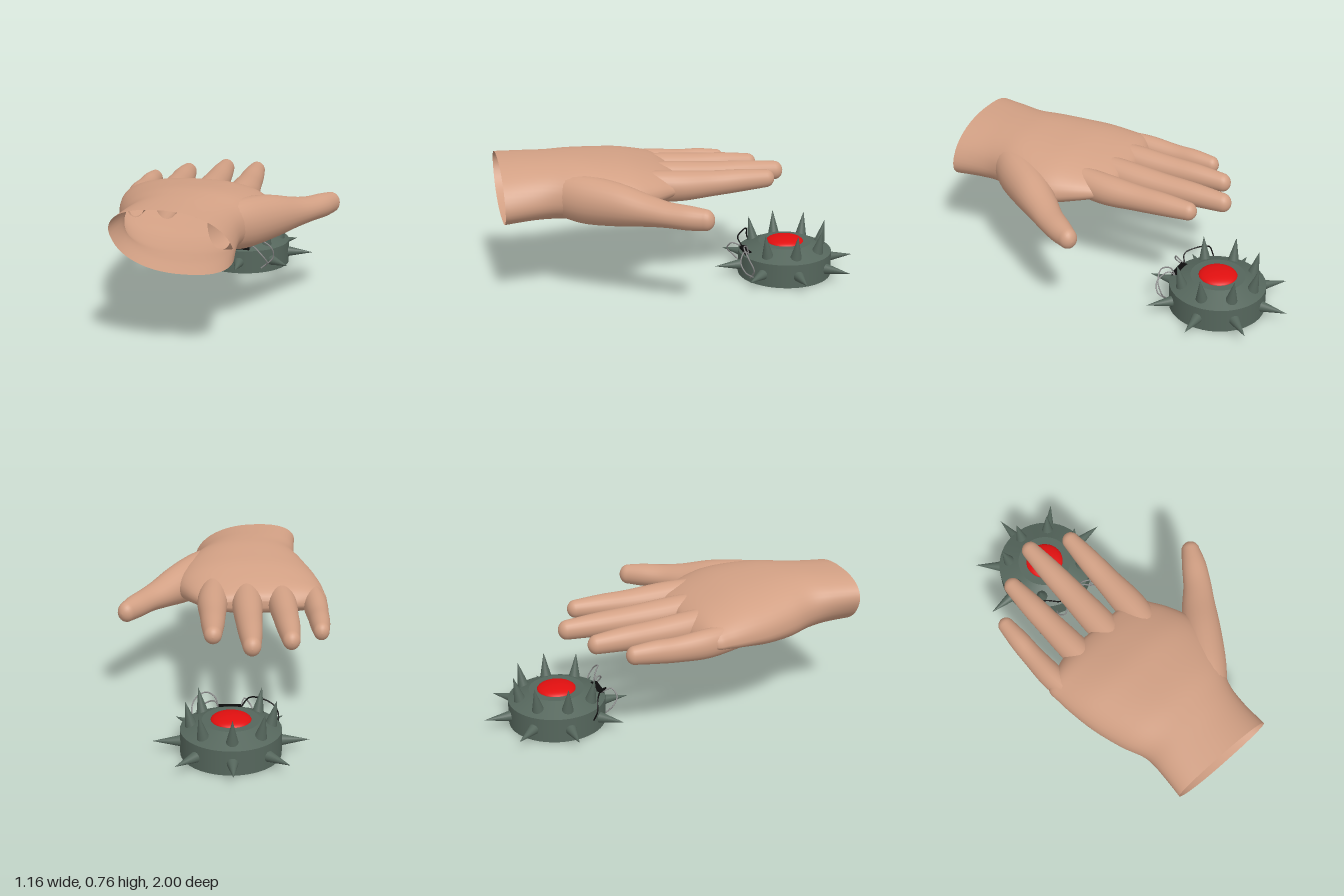
import * as THREE from 'three';

const skin = new THREE.MeshStandardMaterial({ color: 0xd2a084, side: THREE.DoubleSide });
const metal = new THREE.MeshStandardMaterial({ color: 0x55665c });
const red = new THREE.MeshStandardMaterial({ color: 0xe00f0f });
const black = new THREE.MeshStandardMaterial({ color: 0x0c0c0c });
const grey = new THREE.MeshStandardMaterial({ color: 0x8c8c8c });
metal.name = 'gunmetal'; skin.name = 'skin'; red.name = 'button red';
black.name = 'black'; grey.name = 'wire grey';

function add(parent, name, geometry, material) {
  const mesh = new THREE.Mesh(geometry, material);
  mesh.name = name;
  parent.add(mesh);
  return mesh;
}

// Smoothly interpolate rows of numbers (Catmull-Rom), with several steps per span
function smoothRows(rows, steps) {
  const out = [];
  const at = i => rows[Math.min(Math.max(i, 0), rows.length - 1)];
  for (let i = 0; i < rows.length - 1; i++) {
    for (let s = 0; s < steps; s++) {
      const t = s / steps;
      out.push(rows[i].map((_, k) => {
        const [a, b, c, d] = [at(i - 1)[k], at(i)[k], at(i + 1)[k], at(i + 2)[k]];
        return b + 0.5 * t * (c - a + t * (2 * a - 5 * b + 4 * c - d + t * (3 * (b - c) + d - a)));
      }));
    }
  }
  out.push(rows[rows.length - 1]);
  return out;
}

// Skin a list of closed rings of equal length
function loft(rings) {
  const n = rings[0].length, index = [];
  for (let i = 0; i < rings.length - 1; i++) {
    for (let j = 0; j < n; j++) {
      const a = i * n + j, b = i * n + (j + 1) % n;
      index.push(a, a + n, b, b, a + n, b + n);
    }
  }
  const g = new THREE.BufferGeometry();
  g.setAttribute('position', new THREE.Float32BufferAttribute(rings.flat(2), 3));
  g.setIndex(index);
  g.computeVertexNormals();
  return g;
}

const angles = n => Array.from({ length: n }, (_, j) => j / n * Math.PI * 2);
const power = (v, p) => Math.sign(v) * Math.abs(v) ** p;

// Finger: rows are [x, y, z, half width, half height], finished with a round tip
function fingerGeometry(rows) {
  const stations = smoothRows(rows, 5);
  const end = stations[stations.length - 1], before = rows[rows.length - 2];
  const dir = new THREE.Vector3(end[0] - before[0], end[1] - before[1], end[2] - before[2]).normalize();
  for (let k = 1; k <= 7; k++) {
    const a = k / 7 * Math.PI / 2, f = end[3] * Math.sin(a), c = Math.max(Math.cos(a), 0.001);
    stations.push([end[0] + dir.x * f, end[1] + dir.y * f, end[2] + dir.z * f, end[3] * c, end[4] * c]);
  }
  const side = new THREE.Vector3(-dir.z, 0, dir.x).normalize();
  return loft(stations.map(([x, y, z, w, h]) => angles(24).map(a => [
    x + side.x * w * Math.cos(a), y + h * Math.sin(a), z + side.z * w * Math.cos(a)])));
}

// Palm: rows are [z, right x, left x, edge y right, edge y left, top, bottom, skew]
function palmGeometry() {
  const rows = [
    [1.00, -0.45, 0.13, 0.59, 0.59, 0.745, 0.43, 0.08],
    [0.85, -0.445, 0.13, 0.59, 0.59, 0.75, 0.435, 0.05],
    [0.73, -0.45, 0.145, 0.58, 0.59, 0.755, 0.43, 0.02],
    [0.60, -0.50, 0.20, 0.57, 0.58, 0.757, 0.425, 0],
    [0.45, -0.545, 0.25, 0.56, 0.57, 0.745, 0.435, 0],
    [0.32, -0.57, 0.25, 0.56, 0.57, 0.73, 0.46, 0],
    [0.20, -0.582, 0.20, 0.56, 0.58, 0.70, 0.485, 0],
    [0.11, -0.575, 0.145, 0.56, 0.58, 0.67, 0.505, 0],
    [0.05, -0.45, 0.11, 0.57, 0.58, 0.635, 0.53, 0],
    [0.03, -0.38, 0.05, 0.575, 0.58, 0.60, 0.56, 0],
  ];
  const rings = smoothRows(rows, 5).map(([z, x0, x1, y0, y1, top, bottom, skew]) => angles(48).map(a => {
    const c = power(Math.cos(a), 0.85), s = power(Math.sin(a), 0.9);
    const mid = y0 + (y1 - y0) * (c + 1) / 2;
    return [(x0 + x1) / 2 + c * (x1 - x0) / 2 - skew * s, mid + s * (s > 0 ? top - mid : mid - bottom), z];
  }));
  rings.push(rings[0].map(() => [-0.16, 0.578, 0.03]));
  return loft(rings);
}

function createHand() {
  const hand = new THREE.Group();
  hand.name = 'hand';
  add(hand, 'palm', palmGeometry(), skin);
  const fingers = {
    littleFinger: [[-0.49, 0.575, 0.32, 0.05, 0.07], [-0.515, 0.56, 0.1, 0.066, 0.08],
      [-0.519, 0.555, -0.08, 0.058, 0.068], [-0.517, 0.56, -0.2, 0.054, 0.062], [-0.514, 0.56, -0.31, 0.043, 0.05]],
    ringFinger: [[-0.31, 0.595, 0.36, 0.06, 0.08], [-0.33, 0.58, 0.08, 0.078, 0.085],
      [-0.338, 0.575, -0.15, 0.069, 0.072], [-0.342, 0.575, -0.3, 0.062, 0.064], [-0.345, 0.57, -0.455, 0.047, 0.052]],
    middleFinger: [[-0.14, 0.605, 0.36, 0.06, 0.08], [-0.137, 0.585, 0.06, 0.083, 0.086],
      [-0.136, 0.58, -0.2, 0.072, 0.072], [-0.137, 0.58, -0.38, 0.063, 0.064], [-0.137, 0.577, -0.55, 0.048, 0.053]],
    indexFinger: [[0.03, 0.605, 0.36, 0.06, 0.08], [0.053, 0.59, 0.08, 0.083, 0.085],
      [0.056, 0.59, -0.14, 0.07, 0.07], [0.058, 0.595, -0.29, 0.062, 0.062], [0.06, 0.597, -0.44, 0.047, 0.05]],
    thumb: [[0.03, 0.585, 0.72, 0.08, 0.11], [0.12, 0.575, 0.58, 0.11, 0.13], [0.235, 0.57, 0.42, 0.108, 0.115],
      [0.34, 0.56, 0.285, 0.09, 0.083], [0.415, 0.555, 0.195, 0.076, 0.067], [0.48, 0.552, 0.1, 0.066, 0.064],
      [0.525, 0.55, 0.025, 0.05, 0.057]],
  };
  for (const [name, rows] of Object.entries(fingers)) add(hand, name, fingerGeometry(rows), skin);
  return hand;
}

// Cone standing between a base point and a tip
function spike(parent, name, base, tip, radius) {
  const axis = tip.clone().sub(base), length = axis.length();
  const mesh = add(parent, name, new THREE.ConeGeometry(radius, length, 20), metal);
  mesh.position.copy(base).addScaledVector(axis, 0.5);
  mesh.quaternion.setFromUnitVectors(new THREE.Vector3(0, 1, 0), axis.normalize());
}

function createDevice() {
  const device = new THREE.Group();
  device.name = 'spikedButton';
  device.position.set(-0.03, 0, -0.59);

  // Body with a bevelled top
  add(device, 'baseDrum', new THREE.CylinderGeometry(0.265, 0.265, 0.135, 48), metal).position.y = 0.0675;
  add(device, 'bevelledTop', new THREE.CylinderGeometry(0.15, 0.265, 0.052, 48), metal).position.y = 0.161;
  const dome = add(device, 'button', new THREE.SphereGeometry(0.107, 32, 12, 0, Math.PI * 2, 0, Math.PI / 2), red);
  dome.scale.y = 0.3;
  dome.position.y = 0.182;

  // Side spikes all round; top spikes leave the front free for the connector
  for (let i = 0; i < 8; i++) {
    const a = i * Math.PI / 4;
    const ring = (r, y) => new THREE.Vector3(Math.sin(a) * r, y, Math.cos(a) * r);
    spike(device, 'sideSpike', ring(0.25, 0.066), ring(0.41, 0.066), 0.032);
    if (i > 0) spike(device, 'topSpike', ring(0.203, 0.14), ring(0.237, 0.292), 0.036);
  }

  // Connector and loose wires
  add(device, 'connector', new THREE.BoxGeometry(0.12, 0.022, 0.04), black).position.set(0, 0.145, 0.23);
  const wire = (name, material, points) => {
    const curve = new THREE.CatmullRomCurve3(points.map(p => new THREE.Vector3(...p)));
    add(device, name, new THREE.TubeGeometry(curve, 40, 0.004, 6), material);
  };
  wire('blackWire', black, [[-0.06, 0.145, 0.23], [-0.1, 0.19, 0.25], [-0.16, 0.212, 0.2],
    [-0.23, 0.19, 0.16], [-0.255, 0.14, 0.15], [-0.25, 0.09, 0.13]]);
  wire('leftWire', grey, [[-0.06, 0.145, 0.23], [-0.08, 0.17, 0.29], [-0.11, 0.13, 0.31], [-0.13, 0.09, 0.28], [-0.12, 0.05, 0.24]]);
  wire('rightWire', grey, [[0.06, 0.145, 0.23], [0.08, 0.2, 0.25], [0.13, 0.213, 0.28],
    [0.19, 0.17, 0.27], [0.2, 0.1, 0.24], [0.13, 0.03, 0.24]]);
  wire('rightLoop', grey, [[0.06, 0.145, 0.23], [0.08, 0.17, 0.26], [0.14, 0.13, 0.3], [0.17, 0.08, 0.28], [0.15, 0.04, 0.23]]);
  return device;
}

export function createModel() {
  const model = new THREE.Group();
  model.name = 'handAndSpikedButton';
  model.add(createHand(), createDevice());
  return model;
}
